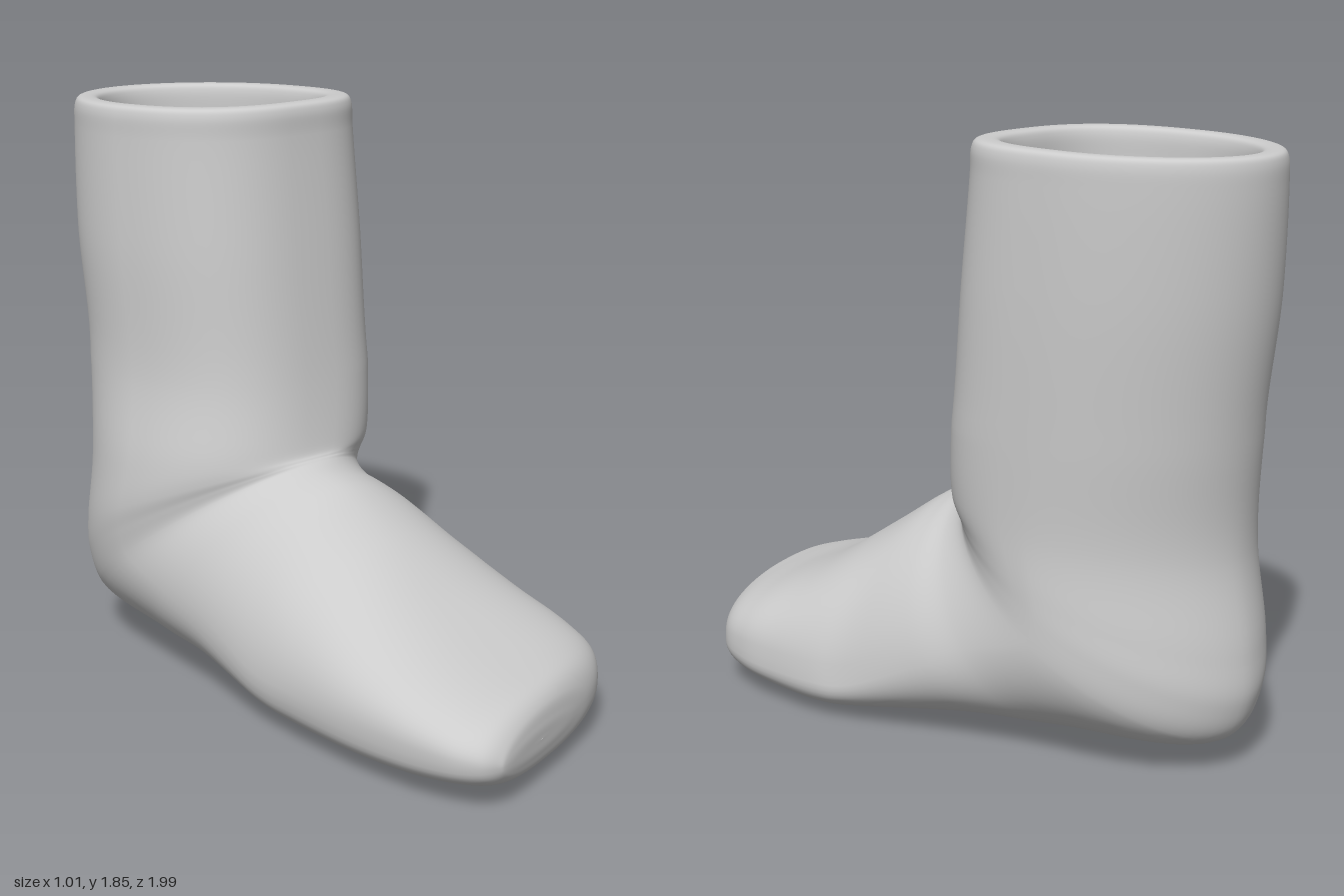
import * as THREE from 'three';

const SIDES = 72;
const STEPS = 8;

// Signed power, used for squarish rounding
const power = (v, e) => Math.sign(v) * Math.abs(v) ** e;

// Each cross-section: front/top point (z, y), back/bottom point (z, y), x from left to right.
const SHAFT = [
  [-0.172, 1.75, -0.995, 1.73, -0.436, 0.286],
  [-0.14, 1.4, -0.98, 1.4, -0.445, 0.291],
  [-0.1, 1, -0.937, 1, -0.443, 0.289],
];
// Sections that fan round the instep crease to form the heel
const HEEL = [
  [-0.066, 0.79, -0.918, 0.66, -0.485, 0.286],
  [-0.05, 0.755, -0.968, 0.37, -0.505, 0.285],
  [-0.042, 0.75, -0.975, 0.22, -0.5, 0.285],
  [-0.034, 0.745, -0.915, 0.1, -0.49, 0.29],
  [0, 0.728, -0.5, 0.05, -0.48, 0.325],
  [0.045, 0.708, -0.22, 0.045, -0.465, 0.38],
];
// Upright sections of the foot: z, top, bottom, x from left to right
const FOOT = [
  [0.12, 0.67, 0.018, -0.455, 0.445],
  [0.27, 0.57, 0.002, -0.447, 0.48],
  [0.5, 0.43, 0.006, -0.432, 0.5],
  [0.7, 0.345, 0.018, -0.4, 0.5],
  [0.85, 0.3, 0.032, -0.355, 0.465],
  [0.93, 0.275, 0.042, -0.305, 0.385],
  [0.968, 0.24, 0.065, -0.255, 0.29],
  [0.981, 0.195, 0.105, -0.215, 0.18],
  [0.984, 0.151, 0.149, -0.03, -0.02],
].map(([z, top, bottom, xl, xr]) => [z, top, z, bottom, xl, xr]);

// Cuff: the top shaft section rolled inwards over a squarish half circle
const CUFF = [];
for (let i = 6; i >= 1; i--) {
  const a = (i / 6) * Math.PI;
  const inset = 0.04 * (1 - power(Math.cos(a), 0.5)), rise = 0.098 * power(Math.sin(a), 0.5);
  const [az, ay, bz, by, xl, xr] = SHAFT[0];
  CUFF.push([az - inset, ay + rise, bz + inset, by + rise, xl + inset, xr - inset]);
}

// Hollow that narrows down to a flat floor
const FLOOR_EDGE = [-0.42, 0.3, -0.8, 0.3, -0.21, 0.05];
const FLOOR = [[-0.61, 0.3, -0.611, 0.3, -0.081, -0.079], FLOOR_EDGE];
const LINING = [FLOOR_EDGE, [-0.33, 1.2, -0.86, 1.2, -0.31, 0.15], CUFF[0]];

// Smoothly resamples the rows, spacing the knots by how far the section moves.
function resample(rows) {
  const t = [0];
  for (let i = 1; i < rows.length; i++) {
    const d = rows[i].map((v, j) => v - rows[i - 1][j]);
    t.push(t[i - 1] + Math.sqrt(Math.hypot(...d)));
  }
  const last = rows.length - 1;
  const chord = (a, b, j) => (rows[b][j] - rows[a][j]) / (t[b] - t[a]);
  const slope = (i, j) => {
    if (i === 0) return chord(0, 1, j);
    if (i === last) return chord(last - 1, last, j);
    const h0 = t[i] - t[i - 1], h1 = t[i + 1] - t[i];
    return (chord(i - 1, i, j) * h1 + chord(i, i + 1, j) * h0) / (h0 + h1);
  };
  const out = [];
  for (let i = 0; i < last; i++) {
    const h = t[i + 1] - t[i];
    for (let k = 0; k < STEPS; k++) {
      const s = k / STEPS, s2 = s * s, s3 = s2 * s;
      out.push(rows[i].map((v, j) =>
        (2 * s3 - 3 * s2 + 1) * v + (s3 - 2 * s2 + s) * h * slope(i, j) +
        (3 * s2 - 2 * s3) * rows[i + 1][j] + (s3 - s2) * h * slope(i + 1, j)));
    }
  }
  out.push(rows[last]);
  return out;
}

// Outline of one section: egg-shaped on the shaft, narrow at the heel,
// flat-soled on the foot, swept back at the toes.
function ringPoints([az, ay, bz, by, xl, xr]) {
  const upright = Math.atan2(Math.abs(ay - by), az - bz) / (Math.PI / 2);
  const toe = THREE.MathUtils.clamp((az - 0.1) / 0.9, 0, 1);
  const lean = Math.hypot(az - bz, ay - by) * (0.1 - 0.145 * upright);
  const mid = 0.53 - 0.31 * upright ** 2 + 0.28 * toe;
  const nTop = 1.85 + 0.85 * (1 - upright) ** 3 + 0.8 * Math.sin(Math.PI * toe ** 2);
  const nBottom = 2 - 1.5 * upright + 2.6 * upright ** 2 - 0.9 * toe ** 6;
  const mz = bz + (az - bz) * mid, my = by + (ay - by) * mid;
  const points = [];
  for (let i = 0; i < SIDES; i++) {
    const a = (i / SIDES) * Math.PI * 2, c = Math.cos(a);
    const n = c > 0 ? nTop : nBottom;
    const u = power(c, 2 / n), f = Math.abs(u);
    const x = (xl + xr) / 2 + lean * u + power(Math.sin(a), 2 / n) * (xr - xl) / 2;
    const y = my + f * ((c > 0 ? ay : by) - my);
    const z = mz + f * ((c > 0 ? az : bz) - mz) - 0.32 * toe * (x + 0.17);
    points.push(x, y, z);
  }
  return points;
}

// Skins a run of cross-sections.
function loft(rows) {
  const rings = resample(rows);
  const index = [];
  for (let r = 0; r < rings.length - 1; r++) {
    for (let i = 0; i < SIDES; i++) {
      const a = r * SIDES + i, b = r * SIDES + (i + 1) % SIDES;
      index.push(a, a + SIDES, b, b, a + SIDES, b + SIDES);
    }
  }
  const g = new THREE.BufferGeometry();
  g.setAttribute('position', new THREE.Float32BufferAttribute(rings.flatMap(ringPoints), 3));
  g.setIndex(index);
  g.computeVertexNormals();
  return g;
}

export function createModel() {
  const group = new THREE.Group();
  group.name = 'sock';
  const material = new THREE.MeshStandardMaterial({ color: 0xcccccc, side: THREE.DoubleSide });
  const parts = {
    outerSkin: [...CUFF, ...SHAFT, ...HEEL, ...FOOT],
    innerLining: LINING,
    innerFloor: FLOOR,
  };
  for (const [name, rows] of Object.entries(parts)) {
    const mesh = new THREE.Mesh(loft(rows), material);
    mesh.name = name;
    group.add(mesh);
  }
  return group;
}
